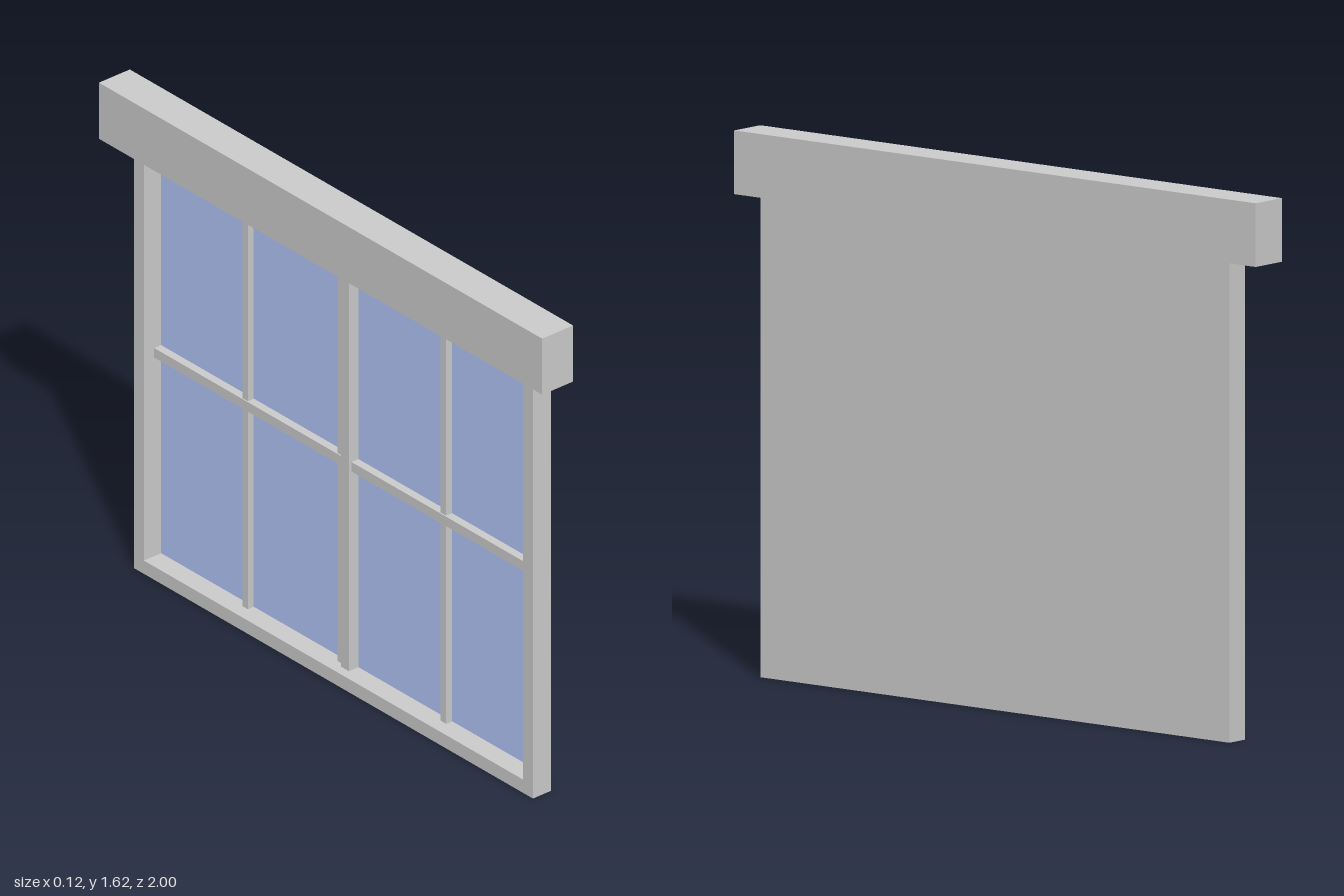
import * as THREE from 'three';

const grey = new THREE.MeshStandardMaterial({ color: 0xcccccc });
const blue = new THREE.MeshStandardMaterial({ color: 0xb5c7fb });

const BACK = 0.06, FACE = -0.01, LINTEL = 1.43, TOP = 1.62;
const HALF = 0.9, EDGE = 0.045, PANE = 0.057;

// Box given by its limits along x, y and z
function block(name, [x0, x1], [y0, y1], [z0, z1], material = grey) {
  const mesh = new THREE.Mesh(new THREE.BoxGeometry(x1 - x0, y1 - y0, z1 - z0), material);
  mesh.position.set((x0 + x1) / 2, (y0 + y1) / 2, (z0 + z1) / 2);
  mesh.name = name;
  return mesh;
}

export function createModel() {
  const model = new THREE.Group();
  model.name = 'window';
  const inner = HALF - EDGE;

  // Shutter box over the opening
  model.add(block('shutterBox', [-0.06, BACK], [LINTEL, TOP], [-1, 1]));

  // Outer frame, a sill between two jambs, closed behind by a thin sheet
  for (const s of [-1, 1]) {
    const z = [s * HALF, s * inner].sort((a, b) => a - b);
    model.add(block(s > 0 ? 'frontJamb' : 'rearJamb', [FACE, BACK], [0, LINTEL], z));
  }
  model.add(block('sill', [FACE, BACK], [0, EDGE], [-inner, inner]));
  model.add(block('backSheet', [PANE + 0.001, BACK], [EDGE, LINTEL], [-inner, inner]));

  // Glass facing -x
  const glass = new THREE.Mesh(new THREE.PlaneGeometry(2 * inner, LINTEL - EDGE), blue);
  glass.rotation.y = -Math.PI / 2;
  glass.position.set(PANE, (LINTEL + EDGE) / 2, 0);
  glass.name = 'glass';
  model.add(glass);

  // Upright glazing bars and the stepped meeting stiles in the middle
  for (const z of [-0.45, 0.445]) {
    model.add(block('uprightBar', [0.034, PANE], [EDGE, LINTEL], [z - 0.0125, z + 0.0125]));
  }
  model.add(block('meetingStile', [0.034, PANE], [EDGE, LINTEL], [-0.033, 0]));
  model.add(block('coverStile', [0.02, PANE], [EDGE, LINTEL], [0, 0.035]));

  // Cross bars, one for each casement
  for (const z of [[-inner, 0], [0.035, inner]]) {
    model.add(block('crossBar', [0.03, PANE], [0.718, 0.75], z));
  }
  return model;
}
